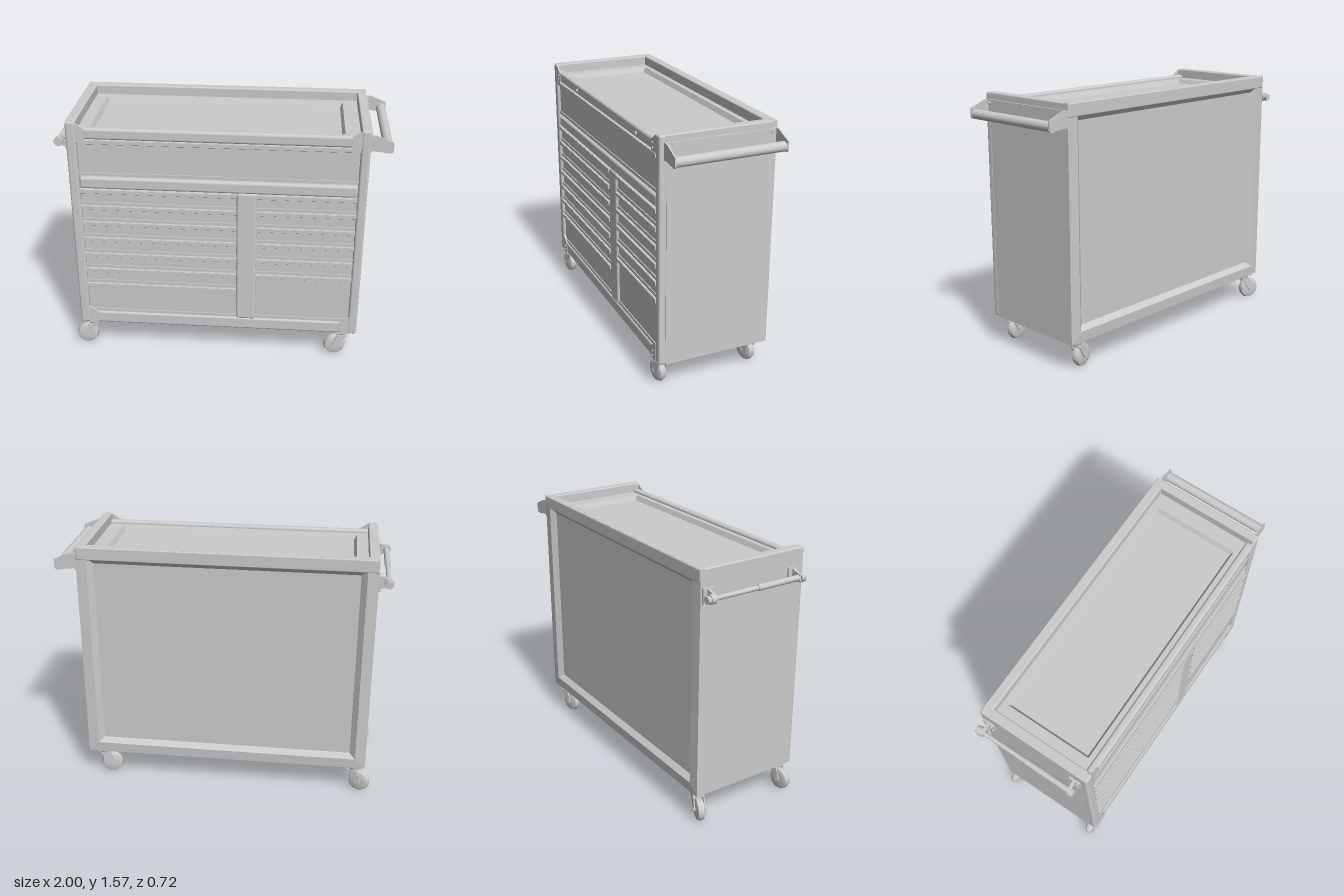
import * as THREE from 'three';
import { RoundedBoxGeometry } from 'three/addons/geometries/RoundedBoxGeometry.js';
import { toCreasedNormals } from 'three/addons/utils/BufferGeometryUtils.js';

const grey = new THREE.MeshStandardMaterial({ color: 0xcccccc });
const LEFT = 0.865, RIGHT = -0.91; // outer side faces of the cabinet

function add(parent, name, geometry, x = 0, y = 0, z = 0) {
  const mesh = new THREE.Mesh(geometry, grey);
  mesh.name = name;
  mesh.position.set(x, y, z);
  parent.add(mesh);
  return mesh;
}

// Box given by its limits; r > 0 rounds the edges
function box(parent, name, x0, x1, y0, y1, z0, z1, r = 0) {
  const size = [x1 - x0, y1 - y0, z1 - z0];
  const g = r ? new RoundedBoxGeometry(...size, 3, r) : new THREE.BoxGeometry(...size);
  return add(parent, name, g, (x0 + x1) / 2, (y0 + y1) / 2, (z0 + z1) / 2);
}

// Cylinder of length len lying along 'x', 'y' or 'z'
function rod(parent, name, axis, r, len, x, y, z, sides = 16) {
  const g = new THREE.CylinderGeometry(r, r, len, sides);
  if (axis === 'x') g.rotateZ(Math.PI / 2);
  if (axis === 'z') g.rotateX(Math.PI / 2);
  return add(parent, name, g, x, y, z);
}

// Flat plate cut from an outline in x and y, centred on z
function plate(parent, name, points, thickness, z) {
  const shape = new THREE.Shape(points.map(([x, y]) => new THREE.Vector2(x, y)));
  const g = new THREE.ExtrudeGeometry(shape, { depth: thickness, bevelEnabled: false });
  return add(parent, name, g, 0, 0, z - thickness / 2);
}

// Stepped panel facing +z: nested rectangles [u0, u1, v0, v1, depth], last one filled
function steppedPanel(rects) {
  const corners = rects.map(([a, b, c, d, z]) => [[a, c, z], [b, c, z], [b, d, z], [a, d, z]]);
  const pos = [];
  const quad = (a, b, c, d) => pos.push(...a, ...b, ...c, ...a, ...c, ...d);
  for (let i = 0; i + 1 < corners.length; i++) {
    for (let k = 0; k < 4; k++) {
      const n = (k + 1) % 4;
      quad(corners[i][k], corners[i][n], corners[i + 1][n], corners[i + 1][k]);
    }
  }
  quad(...corners[corners.length - 1]);
  const g = new THREE.BufferGeometry();
  g.setAttribute('position', new THREE.Float32BufferAttribute(pos, 3));
  g.computeVertexNormals();
  return g;
}

function buildCabinet(g) {
  box(g, 'core', -0.88, 0.835, 0.22, 1.46, -0.31, 0.31);
  box(g, 'leftSidePanel', 0.83, LEFT, 0.18, 1.56, -0.355, 0.31);
  box(g, 'rightSidePanel', RIGHT, -0.875, 0.18, 1.56, -0.355, 0.31);

  // Recessed back, seen from behind (u = -x)
  add(g, 'backPanel', steppedPanel([
    [-0.865, 0.91, 0.18, 1.57, 0.33], [-0.865, 0.91, 0.18, 1.57, 0.355], [-0.80, 0.845, 0.245, 1.505, 0.36],
    [-0.765, 0.81, 0.275, 1.465, 0.33]]).rotateY(Math.PI));

  // Underside with a thin lip
  add(g, 'underside', steppedPanel([
    [RIGHT, LEFT, -0.36, 0.345, -0.18], [-0.885, 0.84, -0.335, 0.32, -0.18],
    [-0.885, 0.84, -0.335, 0.32, -0.2]]).rotateX(Math.PI / 2));

  // Top ledge stepping down into the shallow tray (v = -z)
  add(g, 'topTray', steppedPanel([
    [-0.88, 0.835, -0.32, 0.33, 1.51], [-0.78, 0.72, -0.27, 0.27, 1.51],
    [-0.765, 0.705, -0.255, 0.255, 1.48]]).rotateX(-Math.PI / 2));

  // Raised rim on three sides
  box(g, 'backRim', RIGHT, LEFT, 1.49, 1.57, -0.36, -0.302, 0.008);
  box(g, 'leftRim', 0.81, LEFT, 1.49, 1.57, -0.36, 0.32, 0.008);
  box(g, 'rightRim', RIGHT, -0.85, 1.49, 1.57, -0.36, 0.32, 0.008);
}

function buildFrontFrame(g) {
  box(g, 'leftPost', 0.81, LEFT, 0.18, 1.57, 0.305, 0.352, 0.014);
  box(g, 'rightPost', RIGHT, -0.85, 0.18, 1.57, 0.305, 0.352, 0.014);
  box(g, 'topRail', -0.86, 0.82, 1.46, 1.53, 0.3, 0.347, 0.016);
  box(g, 'bottomRail', -0.86, 0.82, 0.18, 0.262, 0.3, 0.347, 0.014);
  box(g, 'middleRail', -0.85, 0.81, 1.14, 1.215, 0.3, 0.346, 0.016);
  box(g, 'divider', 0.095, 0.217, 0.255, 1.145, 0.3, 0.348, 0.016);
  for (const x of [-0.445, 0.535]) rod(g, 'railBolt', 'z', 0.012, 0.012, x, 1.49, 0.35);

  // Corner gussets with rivets
  for (const [edge, s] of [[-0.855, 1], [0.815, -1]]) {
    const outline = (pts) => pts.map(([dx, y]) => [edge + s * dx, y]);
    plate(g, 'upperGusset', outline([[0, 1.46], [0.06, 1.46], [0.06, 1.525], [0, 1.565]]), 0.012, 0.345);
    plate(g, 'lowerGusset', outline([[0, 0.18], [0.06, 0.18], [0.06, 0.262], [0, 0.305]]), 0.012, 0.345);
    for (const y of [0.205, 0.235, 1.48, 1.51]) {
      rod(g, 'rivet', 'z', 0.006, 0.01, edge + s * 0.04, y, 0.353, 8);
    }
  }
}

// Drawer front with a finger lip along its top and a trim strip below
function buildDrawer(g, x0, x1, y0, y1) {
  const drawer = new THREE.Group();
  drawer.name = 'drawer';
  box(drawer, 'drawerFront', x0 + 0.004, x1 - 0.004, y0 + 0.004, y1 - 0.006, 0.29, 0.335);
  box(drawer, 'lipUpper', x0, x1, y1 - 0.01, y1 - 0.002, 0.32, 0.35);
  plate(drawer, 'lipGrip', [[0.32, y1 - 0.008], [0.353, y1 - 0.003], [0.353, y1 - 0.024],
    [0.347, y1 - 0.028], [0.345, y1 - 0.012], [0.32, y1 - 0.014]].reverse(), x1 - x0, 0)
    .geometry.rotateY(-Math.PI / 2);
  const grip = drawer.children[2];
  grip.position.set(x1, 0, 0);
  box(drawer, 'drawerTrim', x0, x1, y0 + 0.002, y0 + 0.022, 0.3, 0.341);
  g.add(drawer);
}

function buildDrawers(g) {
  buildDrawer(g, -0.85, 0.81, 1.225, 1.46);
  const bank = (x0, x1, count) => {
    for (let i = 0; i < count; i++) {
      const top = 1.138 - 0.11 * i;
      buildDrawer(g, x0, x1, i === count - 1 ? 0.262 : top - 0.11, top);
    }
  };
  bank(-0.85, 0.097, 7);
  bank(0.215, 0.81, 6);
}

function buildPushHandle(g) {
  const handle = new THREE.Group();
  handle.name = 'pushHandle';
  const outline = [[0.862, 1.44], [0.985, 1.425], [0.997, 1.435], [0.997, 1.49], [0.9, 1.53], [0.862, 1.53]];
  for (const z of [-0.35, 0.32]) plate(handle, 'handleBracket', outline, 0.01, z);
  box(handle, 'handleBackPlate', 0.86, 0.876, 1.43, 1.53, -0.355, 0.325);
  rod(handle, 'handleTube', 'z', 0.029, 0.675, 0.967, 1.453, -0.015, 20);
  for (const z of [-0.325, 0.3]) rod(handle, 'handleBolt', 'x', 0.01, 0.012, 0.88, 1.51, z, 10);
  g.add(handle);
}

function buildTowelBar(g) {
  const bar = new THREE.Group();
  bar.name = 'sideBar';
  rod(bar, 'thinBar', 'z', 0.014, 0.38, -0.97, 1.42, -0.17);
  rod(bar, 'barSleeve', 'z', 0.018, 0.32, -0.97, 1.42, 0.14);
  for (const z of [-0.31, 0.27]) {
    plate(bar, 'barBracket', [[-0.908, 1.375], [-0.908, 1.46], [-0.925, 1.46], [-0.985, 1.44],
      [-0.99, 1.405], [-0.95, 1.39]].reverse(), 0.016, z);
    box(bar, 'bracketFoot', -0.922, -0.905, 1.375, 1.465, z - 0.035, z + 0.035);
    rod(bar, 'barKnob', 'z', 0.028, 0.03, -0.97, 1.42, z + Math.sign(z) * 0.015, 12);
    for (const y of [1.39, 1.45]) rod(bar, 'bracketScrew', 'x', 0.008, 0.01, -0.926, y, z + 0.022, 8);
  }
  rod(bar, 'barEnd', 'z', 0.022, 0.03, -0.97, 1.42, -0.345, 12);
  g.add(bar);
}

// Swivel caster trailing towards -x
function buildCaster(g, x, z, yaw) {
  const caster = new THREE.Group();
  caster.name = 'caster';
  caster.position.set(x, 0, z);
  caster.rotation.y = yaw;
  box(caster, 'casterPlate', -0.045, 0.045, 0.168, 0.184, -0.042, 0.042);
  add(caster, 'swivel', new THREE.CylinderGeometry(0.038, 0.03, 0.028, 16), 0, 0.156, 0);
  box(caster, 'forkCrown', -0.032, 0.028, 0.138, 0.15, -0.035, 0.035);
  for (const s of [-1, 1]) {
    plate(caster, 'forkArm', [[0.028, 0.15], [-0.032, 0.15], [-0.062, 0.07], [-0.05, 0.055], [-0.032, 0.06]],
      0.007, s * 0.031);
  }
  const profile = [[0.012, -0.024], [0.05, -0.024], [0.064, -0.018], [0.07, 0],
    [0.064, 0.018], [0.05, 0.024], [0.012, 0.024]].map(([r, y]) => new THREE.Vector2(r, y));
  const wheel = toCreasedNormals(new THREE.LatheGeometry(profile, 18), 0.7).rotateX(Math.PI / 2);
  add(caster, 'wheel', wheel, -0.042, 0.07, 0);
  rod(caster, 'axle', 'z', 0.013, 0.076, -0.042, 0.07, 0, 10);
  g.add(caster);
}

export function createModel() {
  const model = new THREE.Group();
  model.name = 'toolCabinet';
  buildCabinet(model);
  buildFrontFrame(model);
  buildDrawers(model);
  buildPushHandle(model);
  buildTowelBar(model);
  buildCaster(model, -0.84, 0.295, 0.12);
  buildCaster(model, 0.775, 0.295, 0.12);
  buildCaster(model, -0.84, -0.3, -0.35);
  buildCaster(model, 0.775, -0.3, 0.2);
  return model;
}
